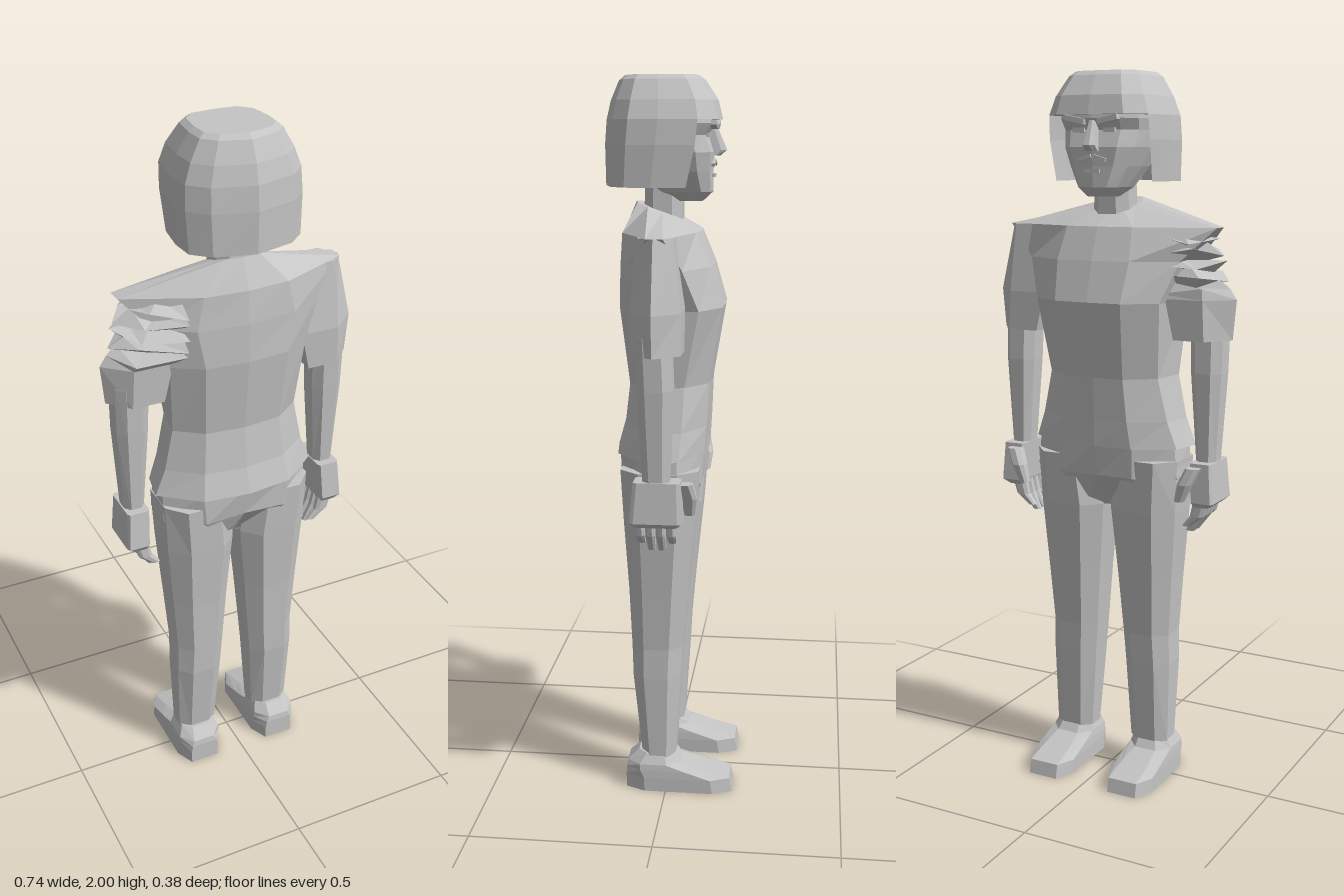
import * as THREE from 'three';

const grey = new THREE.MeshStandardMaterial({ color: 0xc4c4c4, flatShading: true, side: THREE.DoubleSide });
grey.name = 'plain grey';

// Skin a list of [x,y,z] rings; closed lofts get caps and face outwards
function loft(name, rings, open = false) {
  const pos = [], n = rings[0].length;
  const tri = (a, b, c) => pos.push(...a, ...b, ...c);
  for (let r = 0; r < rings.length - 1; r++) {
    const A = rings[r], B = rings[r + 1];
    for (let i = 0; i < (open ? n - 1 : n); i++) {
      const j = (i + 1) % n;
      tri(A[i], B[i], B[j]);
      tri(A[i], B[j], A[j]);
    }
  }
  if (!open) {
    const first = rings[0], last = rings[rings.length - 1];
    for (let i = 1; i < n - 1; i++) {
      tri(first[0], first[i], first[i + 1]);
      tri(last[0], last[i + 1], last[i]);
    }
  }
  // Signed volume tells which way the faces point
  let vol = 0;
  const a = new THREE.Vector3(), b = new THREE.Vector3(), c = new THREE.Vector3();
  const mid = rings[0][0];
  for (let k = 0; k < pos.length; k += 9) {
    a.set(pos[k] - mid[0], pos[k + 1] - mid[1], pos[k + 2] - mid[2]);
    b.set(pos[k + 3] - mid[0], pos[k + 4] - mid[1], pos[k + 5] - mid[2]);
    c.set(pos[k + 6] - mid[0], pos[k + 7] - mid[1], pos[k + 8] - mid[2]);
    vol += a.dot(b.cross(c));
  }
  if (vol < 0) for (let k = 0; k < pos.length; k += 9)
    for (let m = 0; m < 3; m++) [pos[k + 3 + m], pos[k + 6 + m]] = [pos[k + 6 + m], pos[k + 3 + m]];
  const g = new THREE.BufferGeometry();
  g.setAttribute('position', new THREE.Float32BufferAttribute(pos, 3));
  g.computeVertexNormals();
  const mesh = new THREE.Mesh(g, grey);
  mesh.name = name;
  return mesh;
}

// Chamfered rectangle ring
function rect(y, x0, x1, z0, z1, cut = 0.25) {
  const cx = (x1 - x0) * cut, cz = (z1 - z0) * cut;
  return [[x0 + cx, z0], [x1 - cx, z0], [x1, z0 + cz], [x1, z1 - cz],
    [x1 - cx, z1], [x0 + cx, z1], [x0, z1 - cz], [x0, z0 + cz]].map(([x, z]) => [x, y, z]);
}

// Symmetric ring from half an outline, front centre to back centre
function mirrored(y, half, tilt = 0) {
  const back = half.slice(1, -1).reverse().map(([x, z]) => [-x, z]);
  return [...half, ...back].map(([x, z]) => [x, y + tilt * z, z]);
}

const flip = (s, rings) => rings.map(r => r.map(([x, y, z]) => [s * x, y, z]));

const hairHalf = [[0, -1], [0.62, -0.95], [0.92, -0.65], [1, 0], [0.97, 0.5], [0.68, 0.8], [0, 1]];
function oval(y, w, zf, zb) {
  const c = (zf + zb) / 2, d = (zb - zf) / 2;
  return mirrored(y, hairHalf.map(([x, z]) => [x * w, c + z * d]));
}

function sleeveRing(y, x0, xm, x1, zf, zb) {
  return [[x0, zf], [xm, zf], [x1, 0.015], [xm, zb], [x0, zb]].map(([x, z]) => [x, y, z]);
}

function makeHead() {
  const head = new THREE.Group();
  head.name = 'head';
  head.add(loft('neck', [rect(1.76, -0.05, 0.05, -0.03, 0.07), rect(1.62, -0.055, 0.055, -0.03, 0.075)]));
  head.add(loft('face', [
    oval(1.93, 0.125, -0.11, 0.13), oval(1.875, 0.128, -0.118, 0.14), oval(1.845, 0.122, -0.1, 0.14),
    oval(1.8, 0.115, -0.115, 0.13), oval(1.75, 0.095, -0.112, 0.1), oval(1.695, 0.065, -0.112, 0.05),
    oval(1.67, 0.04, -0.085, -0.01)]));
  // Nose, brows, eyes and mouth
  head.add(loft('nose', [rect(1.87, -0.009, 0.009, -0.12, -0.08), rect(1.805, -0.018, 0.018, -0.148, -0.09),
    rect(1.79, -0.02, 0.02, -0.13, -0.09)]));
  const box = (name, w, h, d, x, y, z, rz = 0) => {
    const m = new THREE.Mesh(new THREE.BoxGeometry(w, h, d), grey);
    m.name = name;
    m.position.set(x, y, z);
    m.rotation.z = rz;
    head.add(m);
  };
  for (const s of [-1, 1]) {
    box('brow', 0.06, 0.014, 0.025, s * 0.05, 1.872, -0.113, s * 0.2);
    box('eye', 0.035, 0.012, 0.012, s * 0.046, 1.845, -0.1);
    box('moustache', 0.04, 0.009, 0.014, s * 0.022, 1.772, -0.112, -s * 0.3);
  }
  box('lowerLip', 0.045, 0.01, 0.012, 0, 1.738, -0.112);
  // Hair: a closed crown and a curtain open over the face
  const fringe = oval(1.885, 0.163, -0.137, 0.18);
  head.add(loft('hairCrown', [oval(2, 0.1, -0.073, 0.13), oval(1.988, 0.115, -0.09, 0.145),
    oval(1.935, 0.145, -0.125, 0.168), fringe]));
  const curtain = r => r.slice(2, 11);
  const bottom = oval(1.71, 0.16, -0.1, 0.183), middle = oval(1.82, 0.166, -0.13, 0.185);
  head.add(loft('hairCurtain', [curtain(fringe), curtain(middle), curtain(bottom)], true));
  return head;
}

function makeArm(s) {
  const arm = new THREE.Group();
  arm.name = s > 0 ? 'leftArm' : 'rightArm';
  const add = (name, rings) => arm.add(loft(name, flip(s, rings)));
  const cuff = [sleeveRing(1.4, 0.19, 0.3, 0.37, -0.055, 0.08), sleeveRing(1.29, 0.215, 0.305, 0.36, -0.055, 0.075)];
  if (s > 0) {
    add('sleeve', [sleeveRing(1.59, 0.15, 0.29, 0.325, -0.035, 0.06), ...cuff]);
  } else {
    // Crumpled sleeve with ragged folds
    const folds = [];
    for (let i = 0; i < 10; i++) {
      const w = (i % 2 ? 0.022 : -0.012) + 0.008 * Math.sin(i * 2.7), t = i / 9;
      folds.push(sleeveRing(1.575 - 0.15 * t, 0.17, 0.23 + 0.05 * t + w, 0.285 + 0.05 * t + w, -0.035 - w, 0.07 + w * 1.3)
        .map(([x, y, z], k) => [x, y + 0.012 * Math.sin(i * 1.9 + k * 2.3), z + (k === 4 ? 0.04 : 0)]));
    }
    add('crumpledSleeve', [...folds, ...cuff]);
  }
  add('forearm', [rect(1.34, 0.245, 0.342, -0.03, 0.065), rect(1.2, 0.25, 0.34, -0.035, 0.06),
    rect(0.94, 0.268, 0.325, -0.025, 0.045)]);
  add('palm', [rect(0.955, 0.265, 0.33, -0.055, 0.07, 0.08), rect(0.845, 0.27, 0.338, -0.06, 0.08, 0.08),
    rect(0.83, 0.275, 0.32, -0.045, 0.07, 0.1)]);
  // Four curled fingers and a thumb
  for (let i = 0; i < 4; i++) {
    const z = -0.04 + i * 0.028, d = 0.02 * (i % 3 ? 0 : 1);
    add('finger', [rect(0.86, 0.275, 0.318, z, z + 0.025), rect(0.8, 0.262, 0.3, z, z + 0.025),
      rect(0.75 + d, 0.238, 0.262, z + 0.002, z + 0.022)]);
  }
  add('thumb', [rect(0.945, 0.265, 0.305, -0.085, -0.04), rect(0.9, 0.245, 0.285, -0.095, -0.055),
    rect(0.85, 0.235, 0.262, -0.088, -0.06)]);
  return arm;
}

function makeLeg(s) {
  const leg = new THREE.Group();
  leg.name = s > 0 ? 'leftLeg' : 'rightLeg';
  const add = (name, rings) => leg.add(loft(name, flip(s, rings)));
  add('trouserLeg', [rect(0.95, 0.03, 0.222, -0.09, 0.125), rect(0.8, 0.012, 0.215, -0.08, 0.118),
    rect(0.6, 0.03, 0.2, -0.06, 0.105), rect(0.43, 0.043, 0.188, -0.045, 0.098),
    rect(0.34, 0.05, 0.19, -0.04, 0.095), rect(0.1, 0.066, 0.183, -0.025, 0.07)]);
  add('shoe', [rect(0.11, 0.075, 0.18, -0.02, 0.08), rect(0.08, 0.065, 0.195, -0.04, 0.112),
    rect(0.062, 0.062, 0.197, -0.1, 0.115, 0.2), rect(0.04, 0.06, 0.198, -0.182, 0.115, 0.18),
    rect(0, 0.06, 0.198, -0.19, 0.115, 0.18)]);
  return leg;
}

export function createModel() {
  const model = new THREE.Group();
  model.name = 'standingFigure';
  // Shirt from collar to hem
  model.add(loft('shirt', [
    mirrored(1.635, [[0, -0.02], [0.045, -0.015], [0.065, 0.02], [0.065, 0.06], [0.05, 0.09], [0, 0.098]], 0.35),
    mirrored(1.59, [[0, -0.085], [0.1, -0.075], [0.32, -0.01], [0.32, 0.035], [0.12, 0.122], [0, 0.132]]),
    mirrored(1.5, [[0, -0.12], [0.11, -0.112], [0.23, -0.05], [0.235, 0.075], [0.14, 0.125], [0, 0.14]]),
    mirrored(1.39, [[0, -0.15], [0.1, -0.145], [0.19, -0.09], [0.2, 0.08], [0.12, 0.13], [0, 0.14]]),
    mirrored(1.18, [[0, -0.115], [0.09, -0.11], [0.168, -0.05], [0.185, 0.05], [0.11, 0.105], [0, 0.117]]),
    mirrored(1.06, [[0, -0.108], [0.1, -0.105], [0.195, -0.045], [0.21, 0.05], [0.12, 0.118], [0, 0.132]]),
    mirrored(0.985, [[0, -0.106], [0.11, -0.1], [0.222, -0.04], [0.24, 0.05], [0.13, 0.137], [0, 0.153]])]));
  model.add(loft('hips', [
    mirrored(1.0, [[0, -0.1], [0.11, -0.095], [0.212, -0.035], [0.22, 0.05], [0.13, 0.13], [0, 0.14]]),
    mirrored(0.9, [[0, -0.09], [0.11, -0.092], [0.222, -0.035], [0.222, 0.06], [0.12, 0.128], [0, 0.12]]),
    mirrored(0.8, [[0, -0.02], [0.06, -0.05], [0.1, -0.03], [0.1, 0.05], [0.06, 0.08], [0, 0.05]])]));
  model.add(makeHead());
  for (const s of [-1, 1]) model.add(makeArm(s), makeLeg(s));
  return model;
}
